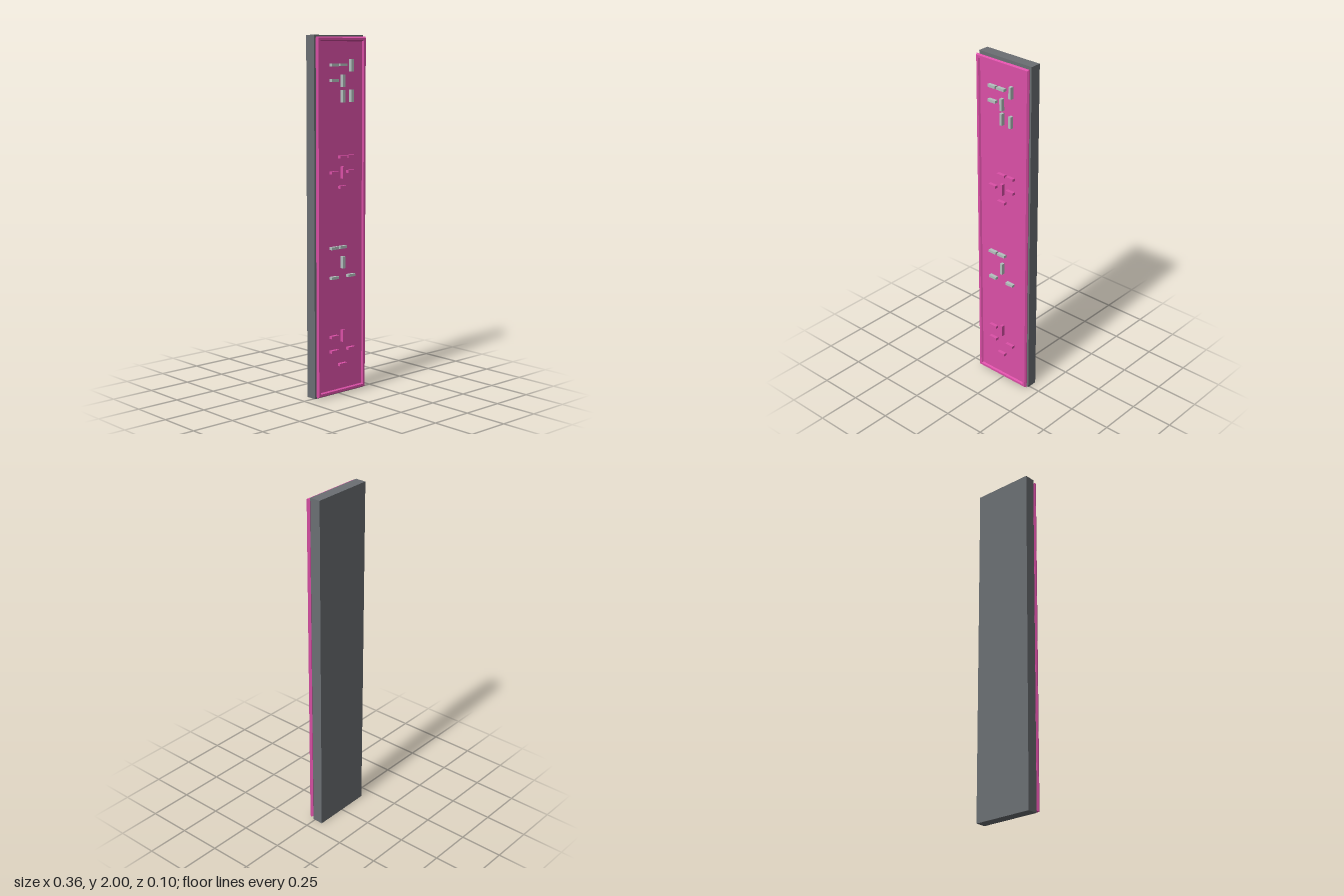
import * as THREE from 'three';

export function createModel() {
  const root = new THREE.Group();
  const mat = (name, color, extra = {}) => {
    const m = new THREE.MeshStandardMaterial({ color, ...extra });
    m.name = name;
    return m;
  };
  const grey = mat('dark grey', 0x6b6f73);
  const pink = mat('pink', 0xdb50a7, { flatShading: true });
  const silver = mat('pale silver', 0xb4c0be);

  const add = (name, geometry, material, x = 0, y = 0, z = 0, parent = root) => {
    const mesh = new THREE.Mesh(geometry, material);
    mesh.name = name;
    mesh.position.set(x, y, z);
    parent.add(mesh);
    return mesh;
  };

  // Backing slab and the face panel set on it
  add('backing', new THREE.BoxGeometry(0.36, 2, 0.063), grey, 0, 1, -0.0215);
  add('facePanel', new THREE.BoxGeometry(0.314, 1.95, 0.02), pink, 0, 1, 0.02);

  // Mitred border: a six-sided section swept round a rectangle
  const halfW = 0.168, halfH = 0.978, r = 0.013;
  const corners = [[1, 1], [-1, 1], [-1, -1], [1, -1]];
  const positions = [], index = [];
  for (const [sx, sy] of corners) {
    for (let k = 0; k < 6; k++) {
      const a = (k * Math.PI) / 3, out = r * Math.cos(a);
      positions.push(sx * (halfW + out), sy * (halfH + out), r * Math.sin(a));
    }
  }
  for (let c = 0; c < 4; c++) {
    for (let k = 0; k < 6; k++) {
      const a = c * 6 + k, b = c * 6 + ((k + 1) % 6);
      const d = ((c + 1) % 4) * 6 + k, e = ((c + 1) % 4) * 6 + ((k + 1) % 6);
      index.push(a, d, b, b, d, e);
    }
  }
  const border = new THREE.BufferGeometry();
  border.setAttribute('position', new THREE.Float32BufferAttribute(positions, 3));
  border.setIndex(index);
  const flatBorder = border.toNonIndexed();
  flatBorder.computeVertexNormals();
  add('border', flatBorder, pink, 0, 1, 0.0285);

  // Raised bars: each group is three rows of (-) flat, (|) upright or empty cells
  const flatBar = new THREE.BoxGeometry(0.052, 0.015, 0.025);
  const uprightBar = new THREE.BoxGeometry(0.017, 0.067, 0.025);
  const groups = [
    ['--|', '-| ', ' ||'],
    [' --', '-|-', ' - '],
    ['-- ', ' | ', '- -'],
    ['-| ', '- -', ' - '],
  ];
  groups.forEach((rows, g) => {
    const group = new THREE.Group();
    group.name = `barGroup${g + 1}`;
    root.add(group);
    rows.forEach((row, j) => [...row].forEach((cell, i) => {
      if (cell === ' ') return;
      const upright = cell === '|';
      add(upright ? 'uprightBar' : 'flatBar', upright ? uprightBar : flatBar, g % 2 ? pink : silver,
        (i - 1) * 0.0625 + (upright ? 0.0035 : 0),
        1.84 - g * 0.5 - j * 0.083 - (upright ? 0.003 : 0), 0.0375, group);
    }));
  });
  return root;
}
